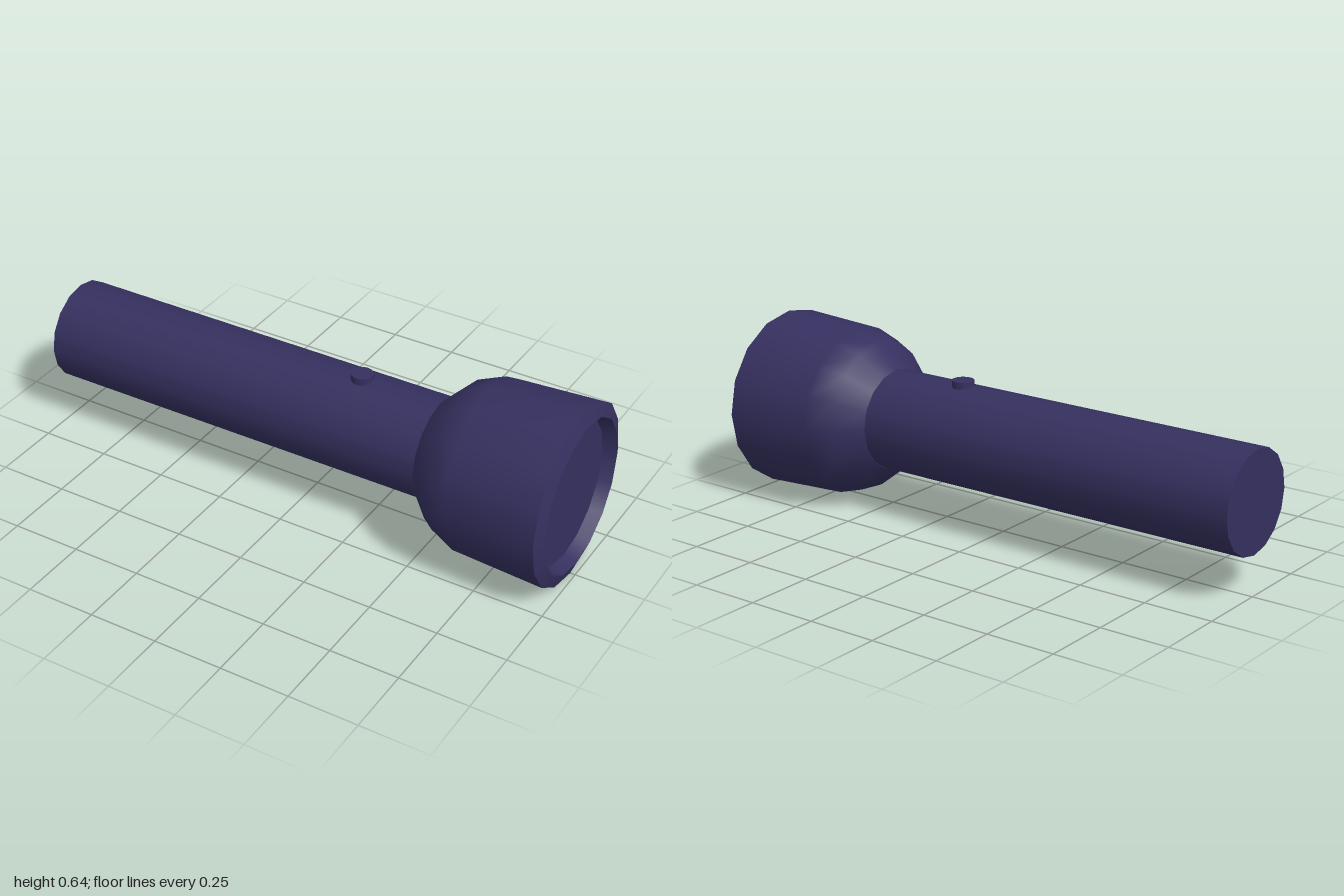
import * as THREE from 'three';

const SIDES = 16;
const AXIS_Y = 0.322;

export function createModel() {
  const group = new THREE.Group();
  group.name = 'flashlight';
  const material = new THREE.MeshStandardMaterial({ color: 0x35305f });

  // Turned part along the x axis; profile is a list of [x, radius]
  const turned = (name, profile) => {
    const points = profile.map(([x, r]) => new THREE.Vector2(r, x));
    const mesh = new THREE.Mesh(new THREE.LatheGeometry(points, SIDES), material);
    mesh.name = name;
    mesh.rotation.z = -Math.PI / 2;
    mesh.position.y = AXIS_Y;
    group.add(mesh);
  };

  // Handle: tube and flat tail
  turned('handleTube', [[-1, 0.18], [0.48, 0.18]]);
  turned('handleEndCap', [[-1, 0], [-1, 0.18]]);

  // Head: flared shell, bevelled rim, recessed wall and lens
  turned('headShell', [[0.475, 0.18], [0.475, 0.184], [0.555, 0.265], [0.65, 0.305], [0.982, 0.322]]);
  turned('headRim', [[0.982, 0.322], [1, 0.273]]);
  turned('rimInnerWall', [[1, 0.273], [0.955, 0.254]]);
  turned('lens', [[0.955, 0.254], [0.955, 0]]);

  // Round switch on top of the handle
  const button = new THREE.Mesh(new THREE.CylinderGeometry(0.039, 0.039, 0.04, SIDES), material);
  button.name = 'switchButton';
  button.position.set(0.175, 0.5, 0);
  group.add(button);

  return group;
}
